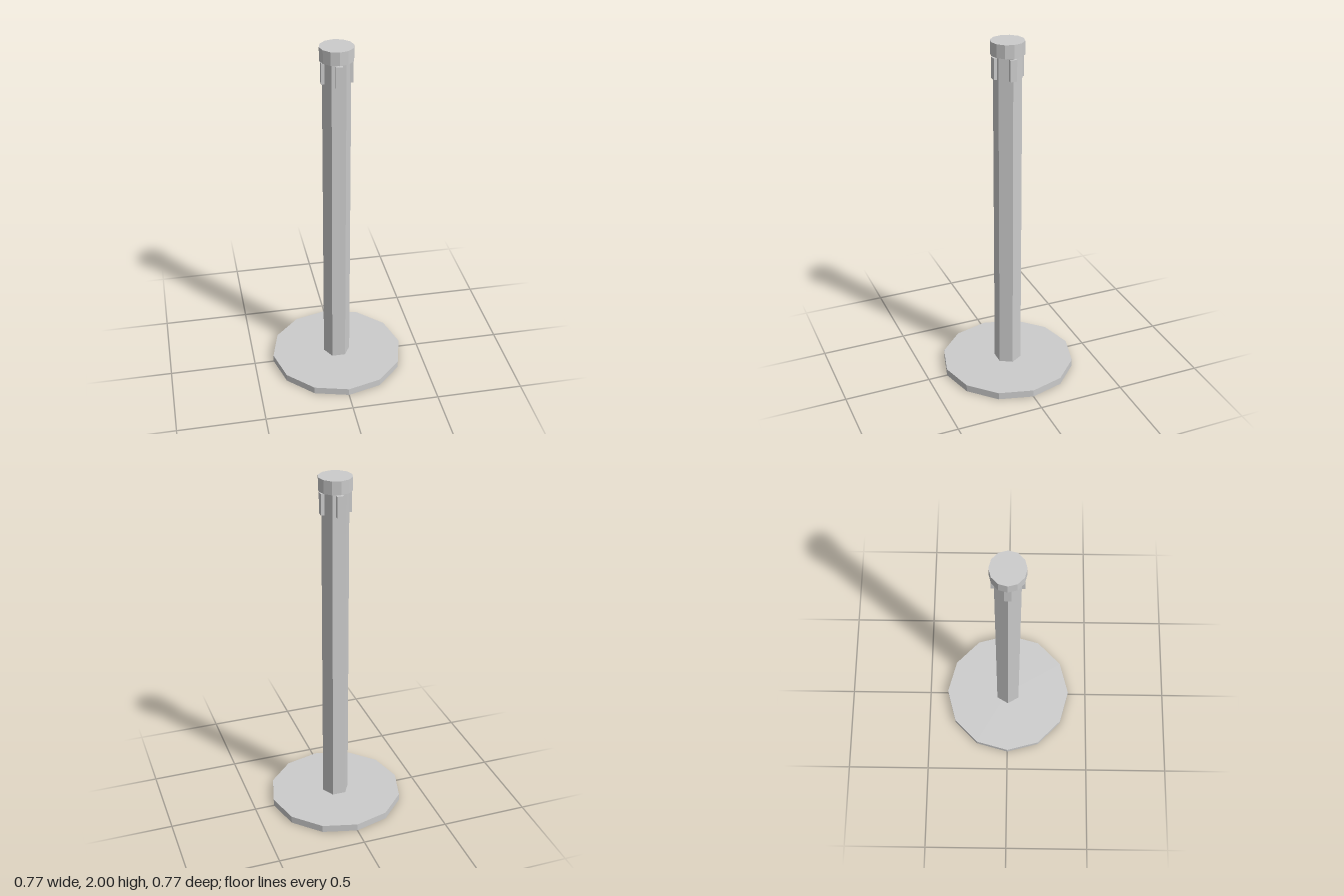
import * as THREE from 'three';

export function createModel() {
  const model = new THREE.Group();
  model.name = 'barrierPost';
  const material = new THREE.MeshStandardMaterial({ color: 0xcccccc, flatShading: true });
  const thinMaterial = material.clone();
  thinMaterial.side = THREE.DoubleSide;

  // Upright prism between two heights
  function prism(name, radius, sides, bottom, top, open = false) {
    const geometry = new THREE.CylinderGeometry(radius, radius, top - bottom, sides, 1, open);
    const mesh = new THREE.Mesh(geometry, open ? thinMaterial : material);
    mesh.name = name;
    mesh.position.y = (bottom + top) / 2;
    model.add(mesh);
    return mesh;
  }

  // Floor plate: a thin shell, open underneath
  prism('baseRim', 0.387, 12, 0, 0.042, true);
  const plate = new THREE.Mesh(new THREE.CircleGeometry(0.387, 12), thinMaterial);
  plate.name = 'basePlate';
  plate.rotation.x = -Math.PI / 2;
  plate.position.y = 0.042;
  model.add(plate);

  // Hexagonal post with flats to the front and back, its foot showing under the plate
  const post = prism('post', 0.078, 6, 0.028, 1.93);
  post.rotation.y = Math.PI / 6;

  prism('cap', 0.093, 12, 1.926, 2);

  // Four belt clips around the top of the post
  const clips = new THREE.Group();
  clips.name = 'beltClips';
  for (let i = 0; i < 4; i++) {
    const angle = (i * Math.PI) / 2;
    const clip = new THREE.Mesh(new THREE.BoxGeometry(0.038, 0.118, 0.022), material);
    clip.name = 'beltClip';
    clip.position.set(Math.sin(angle) * 0.074, 1.857, Math.cos(angle) * 0.074);
    clip.rotation.y = angle;
    clips.add(clip);
  }
  model.add(clips);

  return model;
}
